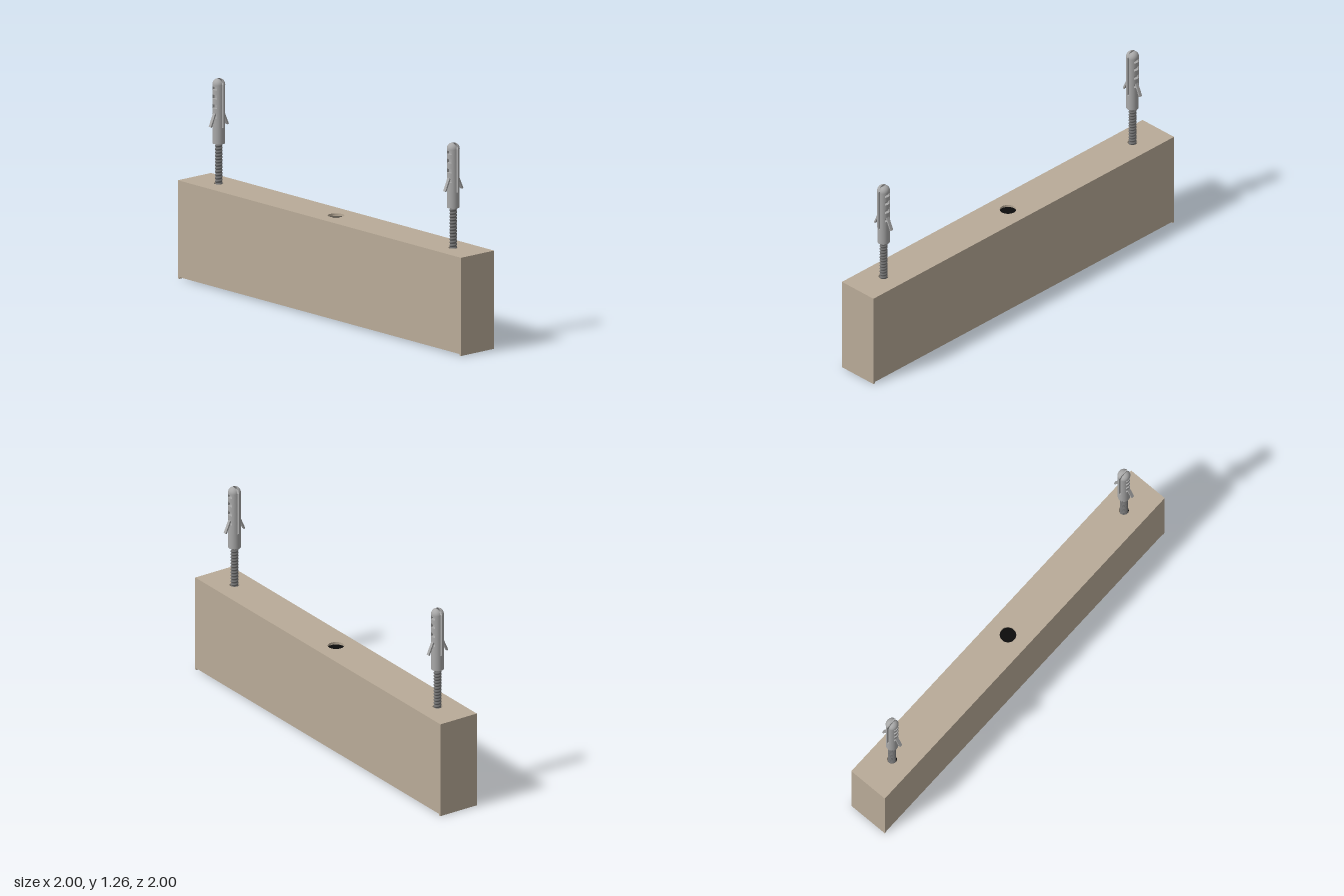
import * as THREE from 'three';

const material = (name, color, side = THREE.FrontSide) => {
  const m = new THREE.MeshStandardMaterial({ color, side });
  m.name = name;
  return m;
};

const LENGTH = 2.56, WIDTH = 0.268, TOP = 0.61, WALL = 0.014;
const SCREW_X = 1.06, PLUG_R = 0.038, GAP = 0.006;

function add(parent, name, geometry, mat, x = 0, y = 0, z = 0) {
  const mesh = new THREE.Mesh(geometry, mat);
  mesh.name = name;
  mesh.position.set(x, y, z);
  parent.add(mesh);
  return mesh;
}

// Shape in plan, raised along y
function raise(shape, height) {
  return new THREE.ExtrudeGeometry(shape, { depth: height, bevelEnabled: false, curveSegments: 20 })
    .rotateX(-Math.PI / 2);
}

// Half of the split plug in plan, optionally with a notch cut in its outer side
function halfPlugShape(notched) {
  const a = Math.asin(GAP / PLUG_R);
  const b = Math.acos(0.02 / PLUG_R);
  const shape = new THREE.Shape();
  shape.moveTo(PLUG_R * Math.cos(a), GAP);
  if (notched) {
    shape.absarc(0, 0, PLUG_R, a, b, false);
    shape.lineTo(0.02, 0.018);
    shape.lineTo(-0.02, 0.018);
    shape.absarc(0, 0, PLUG_R, Math.PI - b, Math.PI - a, false);
  } else {
    shape.absarc(0, 0, PLUG_R, a, Math.PI - a, false);
  }
  shape.closePath();
  return shape;
}

// Cylinder whose radius follows a helical triangle wave
function threadGeometry(height, pitch) {
  const geo = new THREE.CylinderGeometry(1, 1, height, 16, Math.round(height / pitch) * 4, true);
  const p = geo.attributes.position;
  for (let i = 0; i < p.count; i++) {
    const x = p.getX(i), y = p.getY(i), z = p.getZ(i);
    const turn = y / pitch + Math.atan2(z, x) / (2 * Math.PI) + 100;
    const r = 0.017 + 0.018 * Math.abs((turn % 1) - 0.5);
    p.setXYZ(i, x * r, y, z * r);
  }
  geo.computeVertexNormals();
  return geo;
}

function createPlug(plugMat, screwMat) {
  const fixing = new THREE.Group();
  fixing.name = 'wallFixing';
  add(fixing, 'screwThread', threadGeometry(0.32, 0.02), screwMat, 0, 0.71, 0);
  add(fixing, 'plugCollar', new THREE.CylinderGeometry(PLUG_R, PLUG_R, 0.1, 28), plugMat, 0, 0.91, 0);

  for (const turn of [0, Math.PI]) {
    const half = new THREE.Group();
    half.name = 'plugHalf';
    half.rotation.y = turn;
    fixing.add(half);

    // Solid tiers alternate with notched tiers
    const levels = [0.96, 1.02, 1.045, 1.08, 1.105, 1.14, 1.165, 1.195, 1.215, 1.224];
    for (let i = 0; i < levels.length - 1; i++) {
      const notched = i % 2 === 1;
      add(half, notched ? 'plugNotch' : 'plugTier',
        raise(halfPlugShape(notched), levels[i + 1] - levels[i]), plugMat, 0, levels[i], 0);
    }

    // Rounded tip, squeezed to leave the slot open
    const tip = new THREE.SphereGeometry(PLUG_R, 20, 8, Math.PI, Math.PI, 0, Math.PI / 2);
    const p = tip.attributes.position;
    for (let i = 0; i < p.count; i++) p.setZ(i, -GAP + p.getZ(i) * (1 - GAP / PLUG_R));
    add(half, 'plugTip', tip, plugMat, 0, 1.224, 0);

    // Flared anti-rotation wing
    const wing = add(half, 'plugWing', new THREE.BoxGeometry(0.02, 0.09, 0.01), plugMat, 0, 1.01, -0.05);
    wing.rotation.x = 0.42;
  }
  return fixing;
}

export function createModel() {
  const shellMat = material('beige shell', 0xb9ab98);
  const blackMat = material('black', 0x0c0c0c);
  const plugMat = material('grey plug', 0xa8a8a8, THREE.DoubleSide);
  const screwMat = material('dark steel', 0x707070);

  const model = new THREE.Group();
  model.name = 'ceilingLamp';
  const lamp = new THREE.Group();
  lamp.name = 'lamp';
  lamp.rotation.y = -Math.PI / 4;
  model.add(lamp);

  // Top plate with a cable hole and two screw holes
  const l = LENGTH / 2, w = WIDTH / 2;
  const plate = new THREE.Shape([[-l, -w], [l, -w], [l, w], [-l, w]].map(([x, y]) => new THREE.Vector2(x, y)));
  for (const [x, r] of [[0, 0.05], [SCREW_X, 0.03], [-SCREW_X, 0.03]]) {
    plate.holes.push(new THREE.Path().absarc(x, 0, r, 0, Math.PI * 2, true));
  }
  add(lamp, 'topPlate', raise(plate, WALL), shellMat, 0, TOP - WALL, 0);

  // Side walls stop just above the end caps' lower edges
  const wallH = TOP - WALL;
  for (const s of [-1, 1]) {
    add(lamp, 'sideWall', new THREE.BoxGeometry(LENGTH - 2 * WALL, wallH - 0.01, WALL), shellMat,
      0, (wallH + 0.01) / 2, s * (w - WALL / 2));
    add(lamp, 'endCap', new THREE.BoxGeometry(WALL, wallH, WIDTH), shellMat, s * (l - WALL / 2), wallH / 2, 0);
  }

  // Recessed light panel and cable gland
  add(lamp, 'lightPanel', new THREE.BoxGeometry(LENGTH - 2 * WALL, 0.02, WIDTH - 2 * WALL), blackMat, 0, 0.09, 0);
  add(lamp, 'cableGland', new THREE.CylinderGeometry(0.058, 0.058, 0.05, 24), blackMat, 0, 0.565, 0);

  for (const s of [-1, 1]) {
    const fixing = createPlug(plugMat, screwMat);
    fixing.position.x = s * SCREW_X;
    lamp.add(fixing);
  }
  return model;
}
